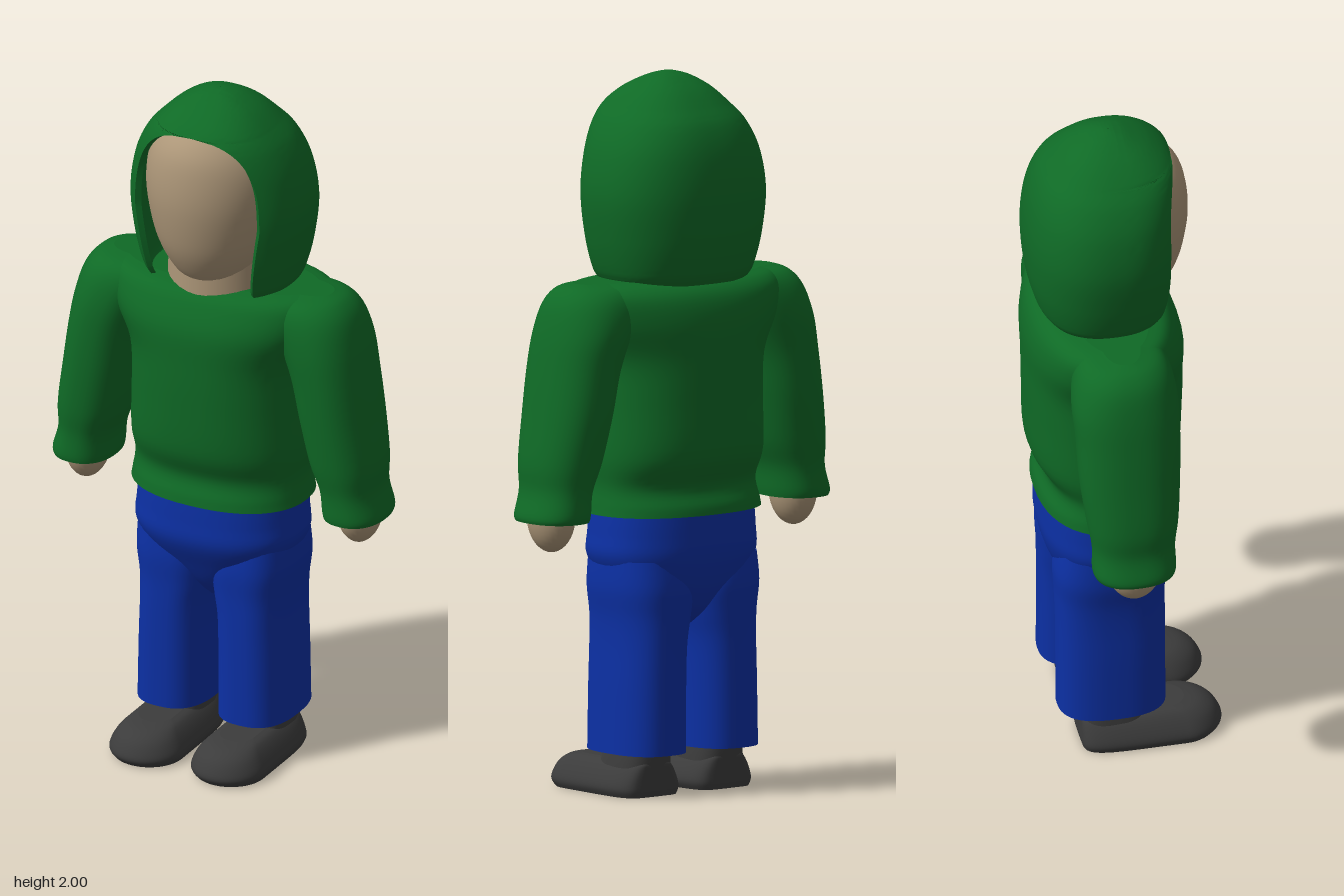
import * as THREE from 'three';
import { toCreasedNormals } from 'three/addons/utils/BufferGeometryUtils.js';

const mat = (name, color) => {
  const m = new THREE.MeshStandardMaterial({ color });
  m.name = name;
  return m;
};

// Catmull-Rom resampling of section rows, so few rows give smooth shapes
function smoothRows(rows, steps) {
  const out = [];
  const last = rows.length - 1;
  for (let i = 0; i < last; i++) {
    const p = [rows[Math.max(i - 1, 0)], rows[i], rows[i + 1], rows[Math.min(i + 2, last)]];
    for (let s = 0; s < steps; s++) {
      const t = s / steps;
      out.push(rows[i].map((_, k) => {
        const [a, b, c, d] = p.map((r) => r[k]);
        return 0.5 * (2 * b + (c - a) * t + (2 * a - 5 * b + 4 * c - d) * t * t + (3 * b - a - 3 * c + d) * t ** 3);
      }));
    }
  }
  out.push(rows[last]);
  return out;
}

const power = (v, n) => Math.sign(v) * Math.abs(v) ** (2 / n);

// Point on a superellipse section; row = [y, xMin, xMax, zFront, zBack]
function sectionPoint([y, x0, x1, zf, zb], t, n, scale = 1) {
  return new THREE.Vector3(
    (x0 + x1) / 2 + ((x1 - x0) / 2) * scale * power(Math.sin(t), n), y,
    (zf + zb) / 2 + ((zf - zb) / 2) * scale * power(Math.cos(t), n));
}

// Skin a stack of closed rings, from bottom to top
function skin(rings, caps = true) {
  const pos = [], index = [], n = rings[0].length;
  const addRing = (ring) => {
    const start = pos.length / 3;
    ring.forEach((p) => pos.push(p.x, p.y, p.z));
    return start;
  };
  rings.forEach(addRing);
  for (let i = 0; i < rings.length - 1; i++) {
    for (let j = 0; j < n; j++) {
      const a = i * n + j, b = i * n + (j + 1) % n;
      index.push(a, b, b + n, a, b + n, a + n);
    }
  }
  if (caps) {
    [[rings[0], true], [rings[rings.length - 1], false]].forEach(([ring, down]) => {
      const s = addRing(ring);
      const c = ring.reduce((v, p) => v.add(p), new THREE.Vector3()).divideScalar(n);
      const m = addRing([c]);
      for (let j = 0; j < n; j++) {
        const a = s + j, b = s + (j + 1) % n;
        index.push(...(down ? [m, b, a] : [m, a, b]));
      }
    });
  }
  const g = new THREE.BufferGeometry();
  g.setAttribute('position', new THREE.Float32BufferAttribute(pos, 3));
  g.setIndex(index);
  g.computeVertexNormals();
  return g;
}

const SEG = 48;
const angles = Array.from({ length: SEG }, (_, j) => (j / SEG) * Math.PI * 2);
const loft = (rows, n = 2.3, caps = true) =>
  skin(smoothRows(rows, 5).map((r) => angles.map((t) => sectionPoint(r, t, n))), caps);
// Rows symmetric about x = 0, given as [y, halfWidth, zFront, zBack]
const sym = (rows) => rows.map(([y, w, zf, zb]) => [y, -w, w, zf, zb]);

// Half width of the face opening at height y
function opening(y) {
  if (y >= 1.912) return 0;
  if (y < 1.65) return 0.195 - 0.035 * (1.65 - y) / 0.22;
  return 0.195 * (1 - ((y - 1.65) / 0.262) ** 2.6) ** (1 / 2.6);
}

function hoodGeometry() {
  const n = 2.4;
  const rows = smoothRows(sym([
    [1.425, 0.205, 0.12, -0.215], [1.46, 0.225, 0.14, -0.235], [1.55, 0.247, 0.157, -0.255],
    [1.67, 0.26, 0.165, -0.262], [1.78, 0.243, 0.165, -0.25], [1.86, 0.207, 0.162, -0.222],
    [1.912, 0.163, 0.145, -0.18], [1.955, 0.115, 0.095, -0.135], [1.985, 0.063, 0.035, -0.085],
    [1.997, 0.025, -0.002, -0.048], [2, 0.001, -0.024, -0.026],
  ]), 8);
  return toCreasedNormals(skin(rows.map((r) => {
    const t0 = Math.asin(Math.min(1, opening(r[0]) / r[2]) ** (n / 2));
    const outer = [], inner = [];
    for (let j = 0; j <= 64; j++) {
      const t = t0 + (j / 64) * (Math.PI * 2 - 2 * t0);
      outer.push(sectionPoint(r, t, n));
      inner.unshift(sectionPoint(r, t, n, 0.93));
    }
    return [...outer, ...inner];
  }), false), 0.8);
}

// Shoe with a round toe and a square heel; row = [y, halfWidth, toeZ, heelZ]
function shoeGeometry() {
  const rows = [
    [0, 0.1, 0.25, -0.135], [0.018, 0.108, 0.264, -0.138], [0.04, 0.104, 0.26, -0.138],
    [0.07, 0.088, 0.24, -0.138], [0.09, 0.07, 0.205, -0.137], [0.098, 0.05, 0.16, -0.13],
  ];
  return skin(smoothRows(rows, 4).map(([y, w, toe, heel]) => angles.map((t) => {
    const s = Math.sin(t), c = Math.cos(t), mid = toe - w;
    return c >= 0
      ? new THREE.Vector3(w * s, y, mid + w * c)
      : new THREE.Vector3(w * power(s, 6), y, mid + (mid - heel) * power(c, 6));
  })));
}

export function createModel() {
  const model = new THREE.Group();
  const green = mat('green cloth', 0x0f6a26);
  const blue = mat('blue cloth', 0x0c30a4);
  const skinTone = mat('skin', 0xac9678);
  const dark = mat('dark shoe', 0x3c3c3c);
  const blueOpen = mat('blue cloth', 0x0c30a4);
  blueOpen.side = THREE.DoubleSide;

  const add = (name, geometry, material, x = 0, y = 0, z = 0) => {
    const m = new THREE.Mesh(geometry, material);
    m.name = name;
    m.position.set(x, y, z);
    model.add(m);
    return m;
  };

  // Head, neck and hood
  add('head', loft(sym([
    [1.44, 0.03, 0.06, 0], [1.452, 0.08, 0.1, -0.06], [1.5, 0.125, 0.14, -0.12],
    [1.58, 0.165, 0.175, -0.17], [1.7, 0.192, 0.195, -0.2], [1.8, 0.19, 0.19, -0.2],
    [1.87, 0.155, 0.168, -0.16], [1.915, 0.1, 0.12, -0.12], [1.94, 0.03, 0.03, -0.06],
  ]), 2), skinTone);
  add('neck', new THREE.CylinderGeometry(0.145, 0.15, 0.18, 32), skinTone, 0, 1.48, -0.03);
  add('hood', hoodGeometry(), green);

  // Jumper body with a gathered hem
  add('jumperBody', loft(sym([
    [0.785, 0.262, 0.15, -0.235], [0.81, 0.258, 0.145, -0.23], [0.865, 0.252, 0.132, -0.212],
    [0.95, 0.26, 0.163, -0.253], [1.1, 0.255, 0.173, -0.26], [1.22, 0.26, 0.175, -0.262],
    [1.32, 0.31, 0.172, -0.262], [1.39, 0.33, 0.145, -0.245], [1.425, 0.32, 0.115, -0.21],
    [1.437, 0.29, 0.07, -0.16],
  ])), green);

  // Trouser seat
  add('trouserSeat', loft(sym([
    [0.46, 0.02, 0.02, -0.1], [0.51, 0.09, 0.065, -0.16], [0.58, 0.19, 0.105, -0.2],
    [0.66, 0.243, 0.143, -0.223], [0.73, 0.242, 0.143, -0.225], [0.81, 0.235, 0.138, -0.222],
  ]), 2.4), blue);

  // Paired parts
  const sleeve = [
    [0.785, 0.335, 0.51, 0.07, -0.155], [0.805, 0.332, 0.512, 0.073, -0.16],
    [0.87, 0.325, 0.494, 0.073, -0.158], [0.95, 0.295, 0.494, 0.085, -0.17],
    [1.08, 0.265, 0.476, 0.095, -0.185], [1.2, 0.24, 0.458, 0.1, -0.19],
    [1.3, 0.2, 0.44, 0.1, -0.195], [1.38, 0.15, 0.415, 0.088, -0.18],
    [1.422, 0.13, 0.38, 0.06, -0.15], [1.437, 0.13, 0.34, 0.01, -0.1],
  ];
  const leg = [
    [0.12, 0.02, 0.234, 0.105, -0.197], [0.3, 0.02, 0.23, 0.105, -0.197],
    [0.42, 0.017, 0.226, 0.105, -0.198], [0.5, 0.004, 0.228, 0.105, -0.2],
    [0.58, -0.005, 0.238, 0.108, -0.203], [0.66, 0.01, 0.235, 0.1, -0.19],
  ];
  const ankle = [
    [0.05, 0.045, 0.21, 0.07, -0.138], [0.1, 0.05, 0.205, 0.05, -0.138], [0.135, 0.055, 0.2, 0.04, -0.135],
  ];
  const mirror = (rows, s) => rows.map(([y, a, b, zf, zb]) => (s > 0 ? [y, a, b, zf, zb] : [y, -b, -a, zf, zb]));
  for (const [side, s] of [['left', 1], ['right', -1]]) {
    add(side + 'Sleeve', loft(mirror(sleeve, s)), green);
    add(side + 'Hand', new THREE.SphereGeometry(1, 28, 20), skinTone, s * 0.427, 0.8, -0.043)
      .scale.set(0.062, 0.102, 0.076);
    add(side + 'TrouserLeg', loft(mirror(leg, s), 2.6, false), blueOpen);
    add(side + 'Shin', new THREE.CylinderGeometry(0.07, 0.07, 0.2, 24), skinTone, s * 0.127, 0.22, -0.048);
    add(side + 'Shoe', shoeGeometry(), dark, s * 0.128);
    add(side + 'ShoeCollar', loft(mirror(ankle, s), 3), dark);
  }
  return model;
}
